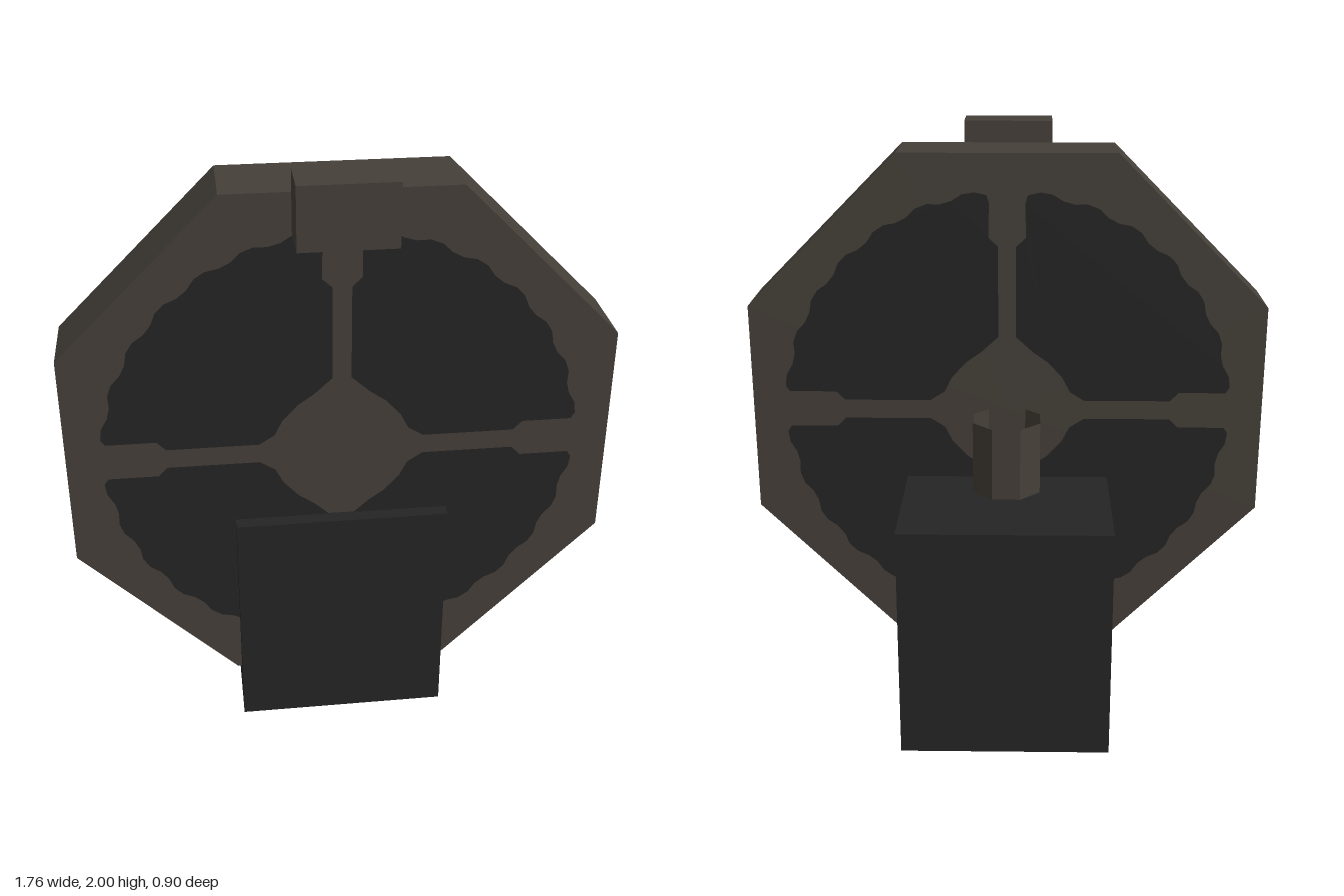
import * as THREE from 'three';

const brown = new THREE.MeshStandardMaterial({ color: 0x453f38, flatShading: true, side: THREE.DoubleSide });
brown.name = 'dark brown';
const black = new THREE.MeshStandardMaterial({ color: 0x242424 });
black.name = 'soft black';

const AXLE_Y = 1.05, WHEEL_FRONT = 0.3, WHEEL_BACK = 0.05;

function add(parent, name, geometry, material, x = 0, y = 0, z = 0) {
  const mesh = new THREE.Mesh(geometry, material);
  mesh.name = name;
  mesh.position.set(x, y, z);
  parent.add(mesh);
  return mesh;
}

// One dark quarter between two spokes, mirrored by the signs sx and sy
function quarterPanel(sx, sy) {
  const points = [
    [0.03, 0.57], [0.03, 0.26], [0.09, 0.205], [0.14, 0.17], [0.19, 0.115], [0.215, 0.065],
    [0.265, 0.033], [0.56, 0.033], [0.59, 0.063], [0.75, 0.063],
  ];
  // Slightly ragged outer arc
  const steps = 26;
  for (let i = 0; i <= steps; i++) {
    const a = 0.11 + (i / steps) * (Math.PI / 2 - 0.2);
    const r = i % 4 < 2 ? 0.758 : 0.744;
    points.push([1.013 * r * Math.cos(a), r * Math.sin(a)]);
  }
  points.push([0.06, 0.715], [0.062, 0.6]);
  return new THREE.ShapeGeometry(new THREE.Shape(points.map(([x, y]) => new THREE.Vector2(x * sx, y * sy))));
}

export function createModel() {
  const model = new THREE.Group();
  model.name = 'octagonalWheelOnBlock';

  // Solid base block
  add(model, 'base', new THREE.BoxGeometry(0.7, 0.8, 0.8), black, 0, 0.4, -0.05);

  // Eight-sided wheel
  const wheel = new THREE.Group();
  wheel.name = 'wheel';
  wheel.position.y = AXLE_Y;
  model.add(wheel);
  const rim = new THREE.CylinderGeometry(0.95, 0.95, WHEEL_FRONT - WHEEL_BACK, 8, 1, false, Math.PI / 8);
  rim.rotateX(Math.PI / 2);
  add(wheel, 'wheelBody', rim, brown, 0, 0, (WHEEL_FRONT + WHEEL_BACK) / 2);

  // Dark quarters painted on both faces
  for (const sx of [-1, 1]) for (const sy of [-1, 1]) {
    add(wheel, 'frontPanel', quarterPanel(sx, sy), black, 0, 0, WHEEL_FRONT + 0.003);
    add(wheel, 'backPanel', quarterPanel(sx, sy).rotateY(Math.PI), black, 0, 0, WHEEL_BACK - 0.003);
  }

  // Handle block at the top of the front face
  add(model, 'handle', new THREE.BoxGeometry(0.3, 0.2, 0.15), brown, 0, 1.9, 0.375);

  // Open eight-sided pipe standing on the base behind the wheel
  const pipe = new THREE.CylinderGeometry(0.123, 0.123, 0.25, 8, 1, true, Math.PI / 8);
  add(model, 'pipe', pipe, brown, 0, 0.925, -0.048);

  return model;
}
